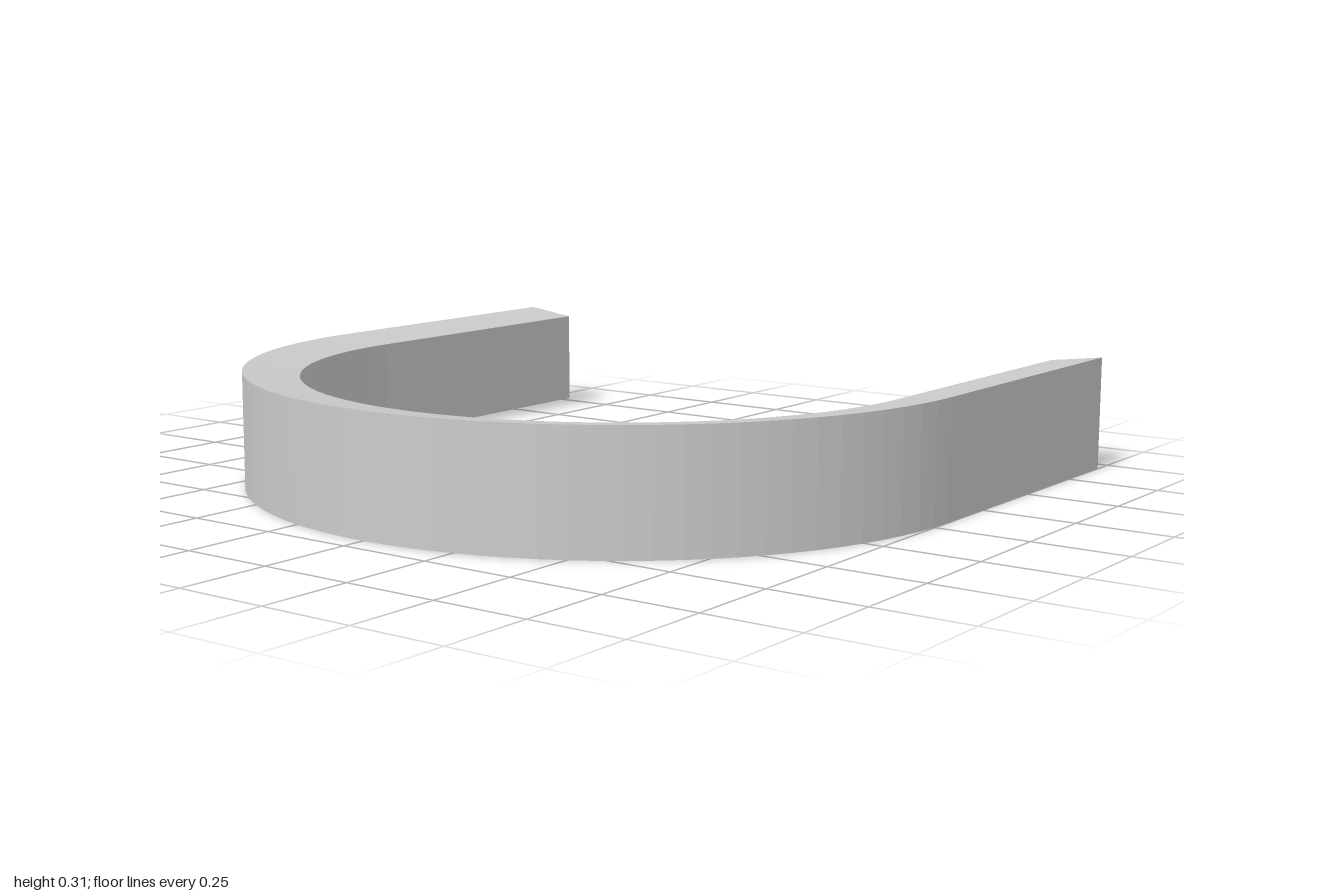
import * as THREE from 'three';

const OUTER = 1, INNER = 0.85, HEIGHT = 0.31, TAPER = 0.02;
const BACK = -0.935, CENTRE = -0.065, SEGMENTS = 48;

// Four corners of the bar's section: outer bottom, outer top, inner top, inner bottom
const PROFILE = [[OUTER, 0], [OUTER, HEIGHT], [INNER, HEIGHT - TAPER], [INNER, TAPER]];

const section = (angle, z) => PROFILE.map(([r, y]) =>
  new THREE.Vector3(r * Math.cos(angle), y, z + r * Math.sin(angle)));

function createBar() {
  // Straight arm, half-round bow, straight arm
  const rings = [section(0, BACK)];
  for (let i = 0; i <= SEGMENTS; i++) rings.push(section(Math.PI * i / SEGMENTS, CENTRE));
  rings.push(section(Math.PI, BACK));

  const positions = [];
  const quad = (a, b, c, d) => {
    for (const p of [a, b, c, a, c, d]) positions.push(p.x, p.y, p.z);
  };
  for (let i = 0; i < rings.length - 1; i++) {
    const p = rings[i], q = rings[i + 1];
    for (let k = 0; k < 4; k++) {
      const n = (k + 1) % 4;
      quad(p[k], p[n], q[n], q[k]);
    }
  }
  // End caps
  const [a, b, c, d] = rings[0];
  quad(d, c, b, a);
  quad(...rings[rings.length - 1]);

  const geometry = new THREE.BufferGeometry();
  geometry.setAttribute('position', new THREE.Float32BufferAttribute(positions, 3));
  geometry.computeVertexNormals();
  return geometry;
}

export function createModel() {
  const group = new THREE.Group();
  group.name = 'uShapedBracket';
  const bar = new THREE.Mesh(createBar(),
    new THREE.MeshStandardMaterial({ color: 0xcccccc, flatShading: true }));
  bar.name = 'curvedBar';
  group.add(bar);
  return group;
}
